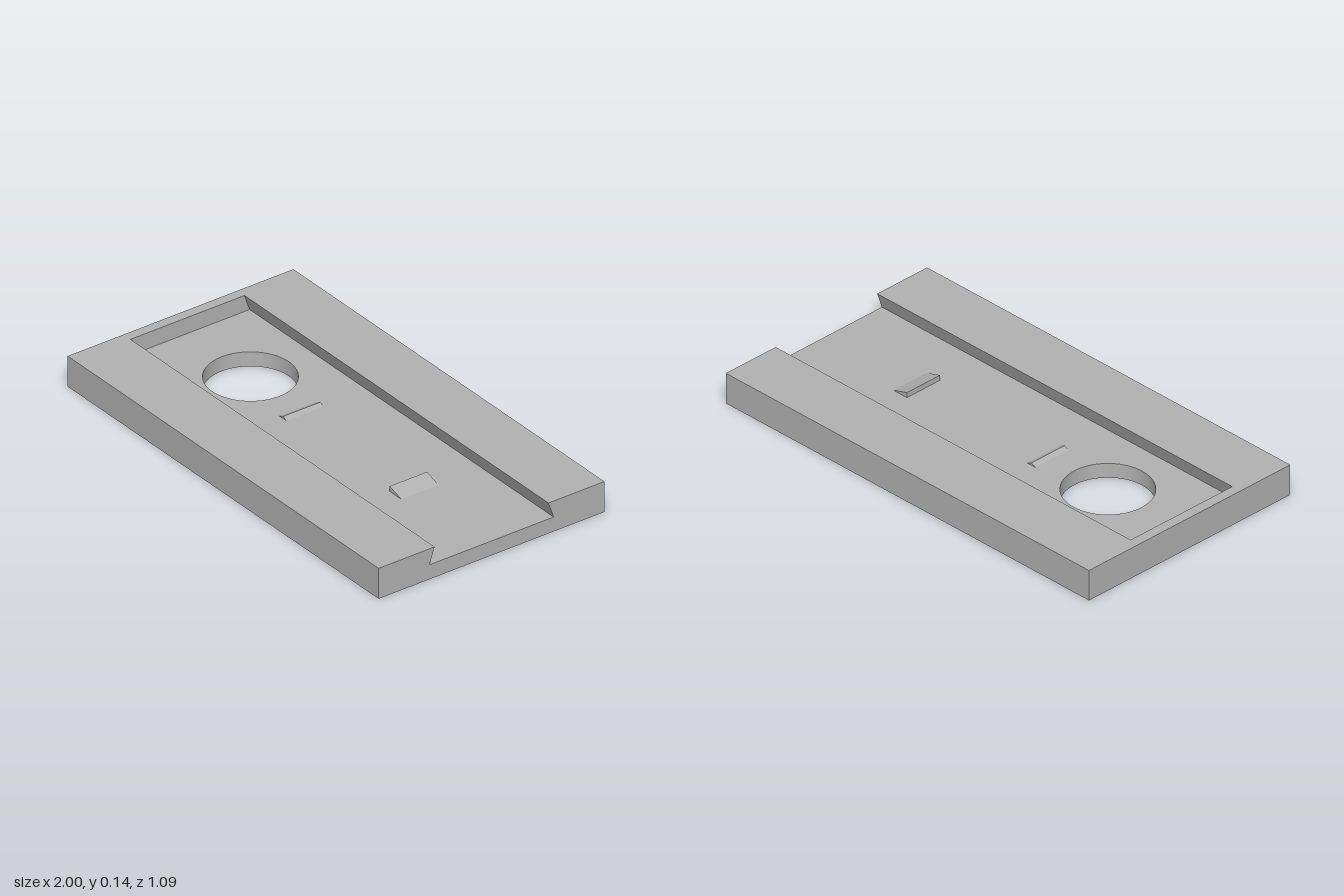
import * as THREE from 'three';

const HALF_Z = 0.545, TOP = 0.137, FLOOR = 0.065;
const SLOT_TOP = 0.275, SLOT_FLOOR = 0.3, STOP_X = -0.955;

const polygon = (pts) => new THREE.Shape(pts.map(([x, y]) => new THREE.Vector2(x, y)));
const extrude = (shape, depth) =>
  new THREE.ExtrudeGeometry(shape, { depth, bevelEnabled: false, curveSegments: 48 });

export function createModel() {
  const group = new THREE.Group();
  const grey = new THREE.MeshStandardMaterial({ color: 0xb2b2b2 });
  grey.name = 'grey';
  const add = (name, geometry) => {
    const mesh = new THREE.Mesh(geometry, grey);
    mesh.name = name;
    group.add(mesh);
  };

  // profile of (-z, y) points, swept along x from x0 to x1
  const alongX = (pts, x0, x1) =>
    extrude(polygon(pts), x1 - x0).rotateY(Math.PI / 2).translate(x0, 0, 0);
  // profile of (x, y) points, swept across the slot
  const acrossSlot = (pts) => extrude(polygon(pts), 0.18).translate(0, 0, -0.09);

  // Base plate with the round entry hole
  const plate = polygon([[-1, -HALF_Z], [1, -HALF_Z], [1, HALF_Z], [-1, HALF_Z]]);
  plate.holes.push(new THREE.Path().absarc(-0.55, 0, 0.185, 0, Math.PI * 2, true));
  add('basePlate', extrude(plate, FLOOR).rotateX(-Math.PI / 2));

  // Undercut rails on both sides of the slot
  for (const [name, s] of [['backRail', 1], ['frontRail', -1]]) {
    add(name, alongX([
      [s * SLOT_FLOOR, FLOOR], [s * HALF_Z, FLOOR], [s * HALF_Z, TOP], [s * SLOT_TOP, TOP],
    ], -1, 1));
  }

  // Wall closing the slot at one end
  add('endStop', alongX([
    [-SLOT_FLOOR, FLOOR], [SLOT_FLOOR, FLOOR], [SLOT_TOP, TOP], [-SLOT_TOP, TOP],
  ], -1, STOP_X));

  // Low detent ridge and one-way catch on the slot floor
  add('detentRidge', acrossSlot([[-0.243, FLOOR], [-0.198, FLOOR], [-0.22, FLOOR + 0.01]]));
  add('catchWedge', acrossSlot([[0.465, FLOOR], [0.54, FLOOR], [0.465, 0.088]]));

  return group;
}
